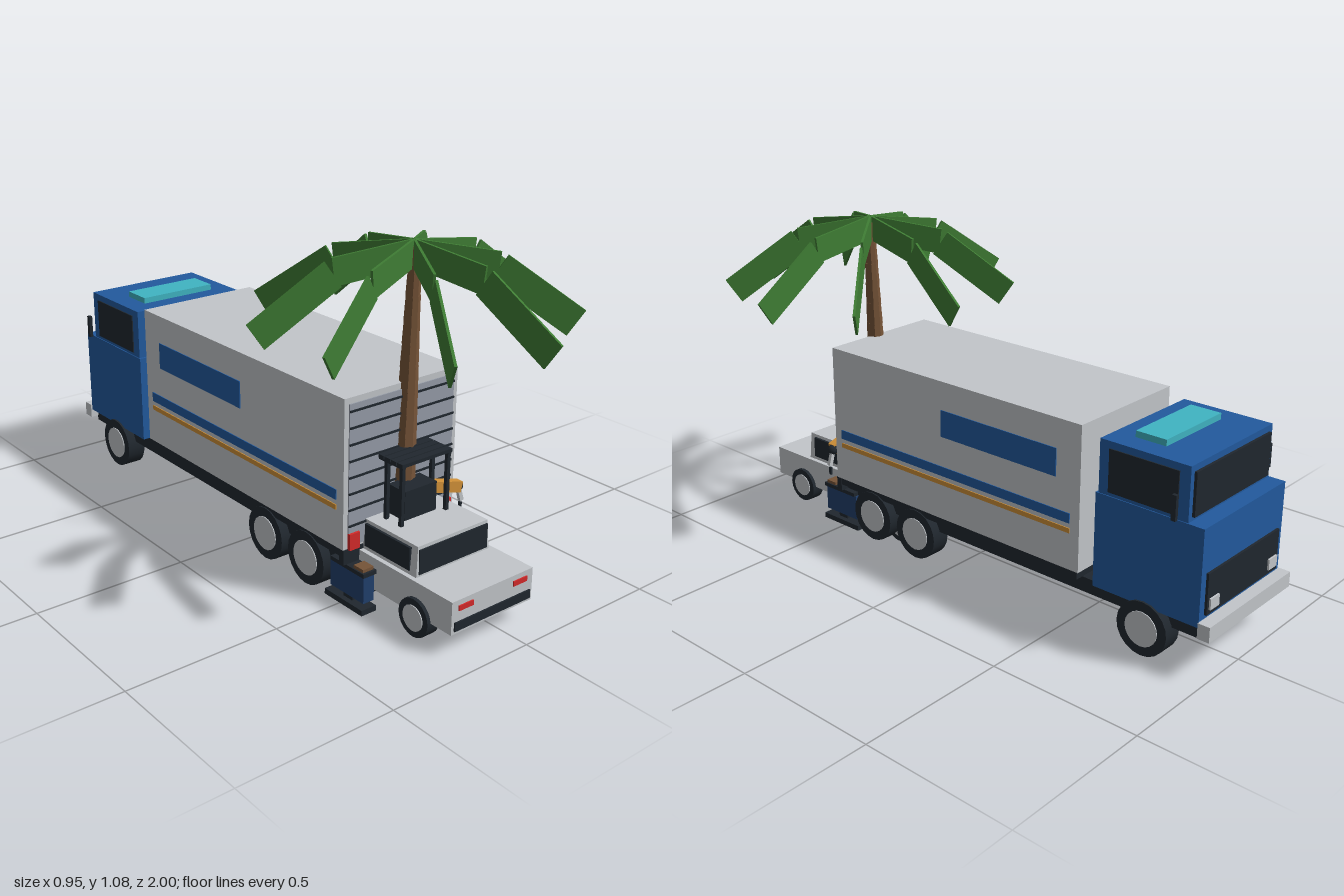
import * as THREE from 'three';

const mat = (name, color) => {
  const m = new THREE.MeshStandardMaterial({ color });
  m.name = name;
  return m;
};

export function createModel() {
  const root = new THREE.Group();
  root.name = 'truckPickupAndPalm';
  const white = mat('paleGrey', 0xc2c6ca), panel = mat('shutterGrey', 0x969ca8);
  const blue = mat('cabBlue', 0x225a9e), dark = mat('charcoal', 0x20272e);
  const teal = mat('hatchTeal', 0x40b4c2), red = mat('lampRed', 0xd52a2a);
  const orange = mat('armOrange', 0xcf9038), green = mat('leafGreen', 0x3f7d34);
  const brown = mat('trunkBrown', 0x765438), navy = mat('navy', 0x213f6c);

  const group = (name) => {
    const g = new THREE.Group();
    g.name = name;
    root.add(g);
    return g;
  };
  const add = (g, name, geo, m) => {
    const mesh = new THREE.Mesh(geo, m);
    mesh.name = name;
    g.add(mesh);
    return mesh;
  };
  // Box given by its extents on each axis
  const box = (g, name, m, x0, x1, y0, y1, z0, z1) => {
    const b = add(g, name, new THREE.BoxGeometry(x1 - x0, y1 - y0, z1 - z0), m);
    b.position.set((x0 + x1) / 2, (y0 + y1) / 2, (z0 + z1) / 2);
    return b;
  };
  const CX = -0.05; // centre line of the vehicles
  // Box repeated on both sides of the centre line, d0..d1 measured outwards
  const pair = (g, name, m, d0, d1, y0, y1, z0, z1) => {
    box(g, name + 'Left', m, CX + d0, CX + d1, y0, y1, z0, z1);
    box(g, name + 'Right', m, CX - d1, CX - d0, y0, y1, z0, z1);
  };
  // Tyre with a pale hub, on both sides
  const wheels = (g, z, r, hub, outer, width) => {
    for (const s of [-1, 1]) {
      const tyre = add(g, 'tyre', new THREE.CylinderGeometry(r, r, width, 20), dark);
      tyre.rotation.z = Math.PI / 2;
      tyre.position.set(CX + s * (outer - width / 2), r, z);
      const cap = add(g, 'hub', new THREE.CylinderGeometry(hub, hub, width + 0.006, 20), white);
      cap.rotation.z = Math.PI / 2;
      cap.position.copy(tyre.position);
    }
  };

  // Truck chassis and wheels
  const truck = group('truck');
  box(truck, 'chassis', dark, -0.24, 0.14, 0.11, 0.158, -0.965, 0.5);
  box(truck, 'containerSill', dark, -0.268, 0.168, 0.158, 0.182, -0.535, 0.52);
  for (const z of [-0.775, 0.14, 0.345]) wheels(truck, z, 0.087, 0.056, 0.222, 0.065);

  // Cargo container with painted stripes
  box(truck, 'container', white, -0.27, 0.17, 0.182, 0.655, -0.54, 0.518);
  pair(truck, 'signPanel', blue, 0.218, 0.223, 0.47, 0.56, -0.45, 0.015);
  pair(truck, 'blueStripe', blue, 0.218, 0.223, 0.335, 0.367, -0.505, 0.487);
  pair(truck, 'orangeStripe', orange, 0.218, 0.223, 0.303, 0.319, -0.505, 0.487);

  // Roller shutter at the rear
  box(truck, 'shutter', panel, -0.253, 0.153, 0.19, 0.636, 0.515, 0.522);
  for (let i = 0; i < 8; i++) {
    const y = 0.256 + i * 0.0512;
    box(truck, 'shutterGroove', dark, -0.253, 0.153, y - 0.003, y + 0.003, 0.52, 0.526);
  }
  pair(truck, 'tailLamp', red, 0.165, 0.203, 0.18, 0.232, 0.515, 0.53);
  box(truck, 'rearBar', dark, -0.27, 0.17, 0.135, 0.182, 0.5, 0.522);

  // Cab
  const cab = group('cab');
  box(cab, 'cabBody', blue, -0.265, 0.165, 0.158, 0.462, -0.96, -0.592);
  box(cab, 'cabTop', blue, -0.262, 0.162, 0.46, 0.63, -0.905, -0.6);
  pair(cab, 'sideWindow', dark, 0.208, 0.216, 0.474, 0.608, -0.87, -0.635);
  box(cab, 'windscreen', dark, -0.245, 0.145, 0.475, 0.61, -0.914, -0.904);
  box(cab, 'grille', dark, -0.24, 0.14, 0.19, 0.32, -0.968, -0.958);
  pair(cab, 'headlamp', white, 0.135, 0.18, 0.205, 0.24, -0.974, -0.966);
  box(cab, 'bumper', white, -0.27, 0.17, 0.128, 0.177, -1, -0.96);
  box(cab, 'roofHatch', teal, -0.19, 0.09, 0.628, 0.65, -0.775, -0.67);
  pair(cab, 'mirror', dark, 0.24, 0.252, 0.475, 0.552, -0.888, -0.873);

  // Pickup parked half under the container
  const car = group('pickup');
  box(car, 'carBody', white, -0.21, 0.11, 0.065, 0.168, 0.13, 0.91);
  const cabin = add(car, 'carCabin', new THREE.BoxGeometry(0.29, 0.097, 0.46), white);
  cabin.position.set(CX, 0.214, 0.52);
  const p = cabin.geometry.attributes.position;
  for (let i = 0; i < p.count; i++) {
    if (p.getY(i) > 0) p.setXYZ(i, p.getX(i) * 0.95, p.getY(i), p.getZ(i) * 0.985);
  }
  cabin.geometry.computeVertexNormals();
  box(car, 'rearGlass', dark, -0.185, 0.085, 0.175, 0.252, 0.745, 0.752);
  box(car, 'frontGlass', dark, -0.185, 0.085, 0.175, 0.252, 0.288, 0.295);
  pair(car, 'carSideGlass', dark, 0.138, 0.147, 0.18, 0.252, 0.53, 0.722);
  box(car, 'rearBumper', dark, -0.2, 0.1, 0.075, 0.102, 0.907, 0.915);
  pair(car, 'carLamp', red, 0.08, 0.135, 0.135, 0.151, 0.907, 0.914);
  for (const z of [0.27, 0.77]) wheels(car, z, 0.06, 0.04, 0.172, 0.045);

  // Small crawler machine: tracks, cage, seat block and arm
  const crawler = group('crawler');
  pair(crawler, 'trackPod', navy, 0.165, 0.205, 0.035, 0.122, 0.445, 0.595);
  pair(crawler, 'trackShoe', dark, 0.16, 0.215, 0, 0.018, 0.43, 0.6);
  pair(crawler, 'podCover', dark, 0.155, 0.21, 0.122, 0.135, 0.45, 0.6);
  pair(crawler, 'podBlock', brown, 0.165, 0.205, 0.13, 0.145, 0.55, 0.592);
  box(crawler, 'underFrame', brown, -0.13, 0.03, 0.012, 0.055, 0.46, 0.6);
  box(crawler, 'crossBeam', dark, -0.25, 0.15, 0.02, 0.04, 0.5, 0.54);
  for (const z of [0.44, 0.635]) box(crawler, 'skid', orange, -0.13, 0.03, 0.02, 0.05, z - 0.015, z + 0.015);
  for (const z of [0.558, 0.622]) pair(crawler, 'cagePost', dark, 0.083, 0.095, 0.255, 0.455, z - 0.006, z + 0.006);
  for (let i = 0; i < 4; i++) {
    const z = 0.527 + i * 0.027;
    box(crawler, 'roofSlat', dark, -0.148, 0.048, 0.449, 0.46, z, z + 0.023);
  }
  pair(crawler, 'roofRail', dark, 0.083, 0.095, 0.443, 0.451, 0.527, 0.63);
  box(crawler, 'seatBlock', dark, -0.11, 0.015, 0.26, 0.355, 0.53, 0.605);
  const arm = box(crawler, 'arm', orange, 0, 0.155, 0.275, 0.31, 0.535, 0.565);
  arm.rotation.z = -0.27;
  arm.position.set(0.088, 0.298, 0.55);
  add(crawler, 'elbow', new THREE.SphereGeometry(0.018, 12, 8), dark).position.set(0.163, 0.276, 0.545);
  const claw = box(crawler, 'claw', white, 0.168, 0.182, 0.22, 0.265, 0.538, 0.55);
  claw.rotation.z = 0.3;
  box(crawler, 'clawTip', dark, 0.176, 0.183, 0.188, 0.215, 0.538, 0.548);

  // Palm trunk: stacked leaning segments
  const palm = group('palm');
  const SEG = 14, h = 0.98 / SEG;
  for (let i = 0; i < SEG; i++) {
    const t = i / (SEG - 1), r = 0.042 - 0.023 * t;
    const s = add(palm, 'trunkSegment', new THREE.CylinderGeometry(r * 0.95, r * 1.04, h * 1.1, 8), brown);
    s.material.flatShading = true;
    s.position.set(-0.048 + 0.031 * t, 0.07 + h * (i + 0.5), 0.52 - 0.003 * t);
    s.rotation.z = -0.05;
  }

  // Palm fronds: two flat upright blades each, nine around the crown
  const blade = (pts) => {
    const g = new THREE.ExtrudeGeometry(new THREE.Shape(pts.map(([x, y]) => new THREE.Vector2(x, y))),
      { depth: 0.008, bevelEnabled: false });
    return g.translate(0, 0, -0.004);
  };
  const inner = blade([[0, 1.075], [-0.01, 0.995], [0.235, 0.957], [0.245, 1.04]]);
  const outer = blade([[0.265, 1.03], [0.215, 0.955], [0.44, 0.795], [0.49, 0.87]]);
  for (let i = 0; i < 9; i++) {
    const frond = new THREE.Group();
    frond.name = 'frond';
    frond.position.set(-0.02, 0, 0.515);
    frond.rotation.y = (i * Math.PI * 2) / 9;
    add(frond, 'innerBlade', inner, green);
    add(frond, 'outerBlade', outer, green);
    palm.add(frond);
  }
  return root;
}
